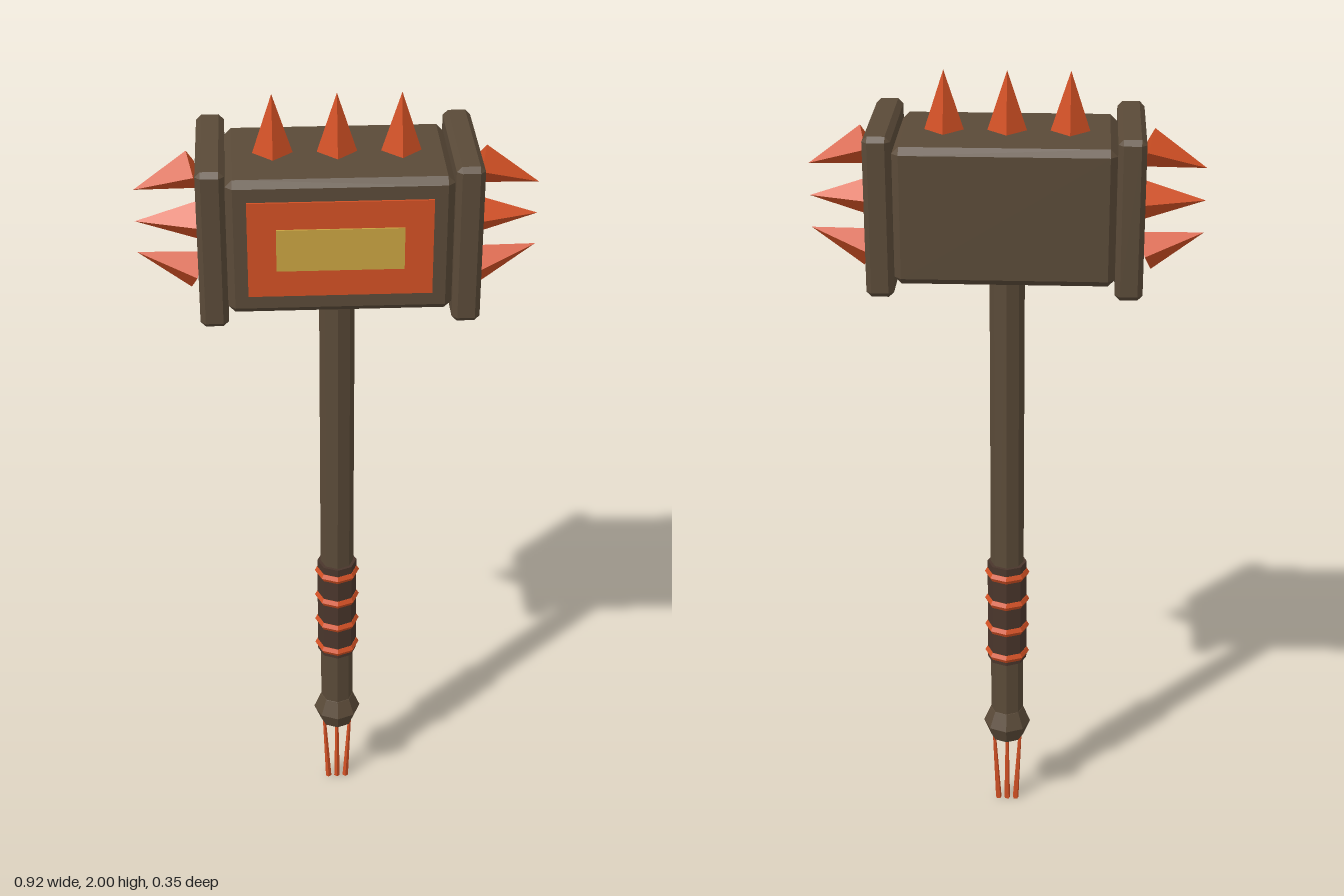
import * as THREE from 'three';
import { ConvexGeometry } from 'three/addons/geometries/ConvexGeometry.js';

const paint = (name, color) => new THREE.MeshStandardMaterial({ name, color, flatShading: true });

// Box with all edges cut at 45 degrees
function chamferBox(w, h, d, c) {
  const pts = [];
  for (const sx of [-1, 1]) for (const sy of [-1, 1]) for (const sz of [-1, 1]) {
    const x = w / 2, y = h / 2, z = d / 2;
    pts.push(
      new THREE.Vector3(sx * x, sy * (y - c), sz * (z - c)),
      new THREE.Vector3(sx * (x - c), sy * y, sz * (z - c)),
      new THREE.Vector3(sx * (x - c), sy * (y - c), sz * z));
  }
  return new ConvexGeometry(pts);
}

export function createModel() {
  const wood = paint('dark brown', 0x5a4a38);
  const leather = paint('grip brown', 0x4a362c);
  const orange = paint('burnt orange', 0xd25024);
  const gold = paint('gold', 0xc9a341);

  const model = new THREE.Group();
  model.name = 'warHammer';
  const add = (name, geometry, material, x = 0, y = 0, z = 0, rotZ = 0) => {
    const mesh = new THREE.Mesh(geometry, material);
    mesh.name = name;
    mesh.position.set(x, y, z);
    mesh.rotation.z = rotZ;
    model.add(mesh);
    return mesh;
  };

  // Head block and end plates
  const headY = 1.7;
  add('headBlock', chamferBox(0.506, 0.323, 0.322, 0.016), wood, 0, headY);
  const plate = chamferBox(0.064, 0.378, 0.346, 0.012);
  for (const s of [-1, 1]) add('endPlate', plate, wood, s * 0.285, headY);

  // Front emblem, front side only
  add('frontPanel', new THREE.BoxGeometry(0.414, 0.228, 0.008), orange, 0, headY, 0.162);
  add('frontInlay', new THREE.BoxGeometry(0.286, 0.1, 0.006), gold, 0, headY, 0.167);

  // Four-sided spikes: three on top, three on each end leaning to the middle
  const spike = new THREE.ConeGeometry(0.048, 0.146, 4).translate(0, 0.073, 0);
  for (const x of [-0.145, 0, 0.145]) add('topSpike', spike, orange, x, 1.854);
  for (const s of [-1, 1]) for (const row of [-1, 0, 1]) {
    const x = row === 0 ? 0.316 : 0.323;
    add('endSpike', spike, orange, s * x, headY + row * 0.125, 0, -s * (Math.PI / 2 + row * 0.33));
  }

  // Handle, grip and its bands
  add('handle', new THREE.CylinderGeometry(0.042, 0.042, 1.3, 8), wood, 0, 0.9);
  add('grip', new THREE.CylinderGeometry(0.05, 0.05, 0.285, 8), leather, 0, 0.5925);
  const band = new THREE.TorusGeometry(0.045, 0.012, 6, 8).rotateX(Math.PI / 2);
  for (let i = 0; i < 4; i++) add('gripBand', band, orange, 0, 0.47 + i * 0.078);

  // Pommel with three hanging strands
  add('pommel', new THREE.SphereGeometry(0.061, 8, 4), wood, 0, 0.251);
  for (const s of [-1, 0, 1]) {
    const strand = new THREE.CylinderGeometry(0.004, 0.008, 0.22, 5);
    add('strand', strand, orange, s * 0.029, 0.11, 0, -s * 0.055);
  }
  return model;
}
